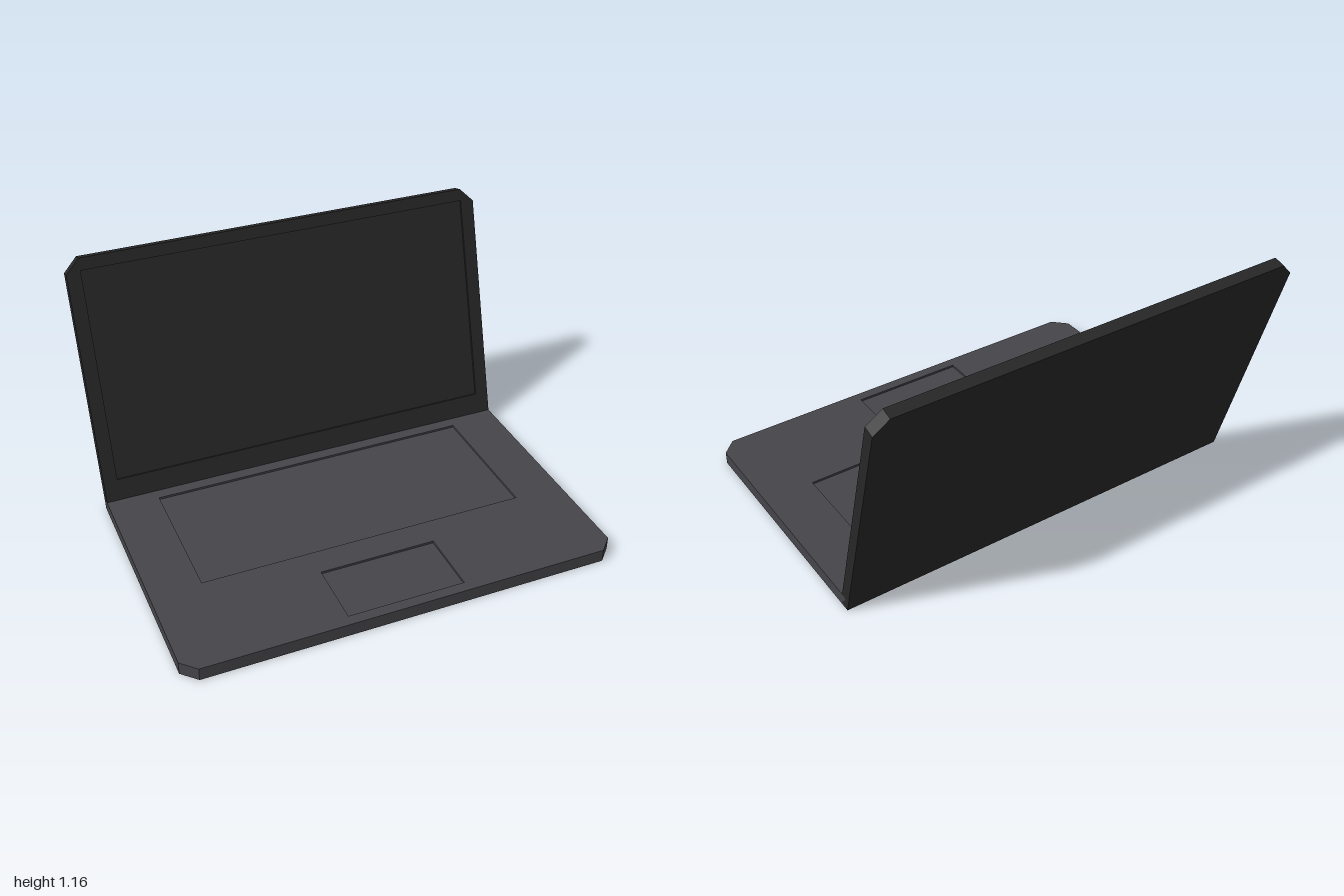
import * as THREE from 'three';

const baseMat = new THREE.MeshStandardMaterial({ color: 0x454449 });
baseMat.name = 'dark grey body';
const lidMat = new THREE.MeshStandardMaterial({ color: 0x272727 });
lidMat.name = 'black lid';

const CHAMFER = 0.065;
const RECESS = 0.01;

// Slab outline with its two far corners (at y1) cut off
function outline(y0, y1) {
  const s = Math.sign(y1 - y0) * CHAMFER;
  return [[-1, y0], [1, y0], [1, y1 - s], [1 - CHAMFER, y1], [-1 + CHAMFER, y1], [-1, y1 - s]];
}

const toPoints = (list) => list.map(([x, y]) => new THREE.Vector2(x, y));

// Rectangle mirrored about x = 0
const rect = (w, y0, y1) => toPoints([[-w, y0], [w, y0], [w, y1], [-w, y1]]);

function extrude(points, holes, depth, z, material, name) {
  const shape = new THREE.Shape(points);
  holes.forEach((h) => shape.holes.push(new THREE.Path(h)));
  const geo = new THREE.ExtrudeGeometry(shape, { depth, bevelEnabled: false });
  geo.translate(0, 0, z);
  const mesh = new THREE.Mesh(geo, material);
  mesh.name = name;
  return mesh;
}

// Solid core plus a thin face plate whose openings form shallow recesses
function recessedSlab(points, holes, thickness, material, name) {
  const group = new THREE.Group();
  group.name = name;
  const core = thickness - RECESS;
  group.add(
    extrude(points, [], core, 0, material, name + 'Core'),
    extrude(points, holes, RECESS, core, material, name + 'FacePlate'),
  );
  return group;
}

export function createModel() {
  const model = new THREE.Group();
  model.name = 'laptop';

  // Base with keyboard and touchpad recesses, laid flat (shape y = -z)
  const base = recessedSlab(
    toPoints(outline(0.44, -0.775)),
    [rect(0.767, -0.29, 0.355), rect(0.27, -0.725, -0.425)],
    0.06, baseMat, 'base',
  );
  base.rotation.x = -Math.PI / 2;
  model.add(base);

  // Lid with screen recess, leaning back from the hinge
  const lid = recessedSlab(
    toPoints(outline(0, 1.196)),
    [rect(0.935, 0.147, 1.14)],
    0.053, lidMat, 'lid',
  );
  lid.position.set(0, 0, -0.45);
  lid.rotation.x = -THREE.MathUtils.degToRad(16);
  model.add(lid);

  return model;
}
